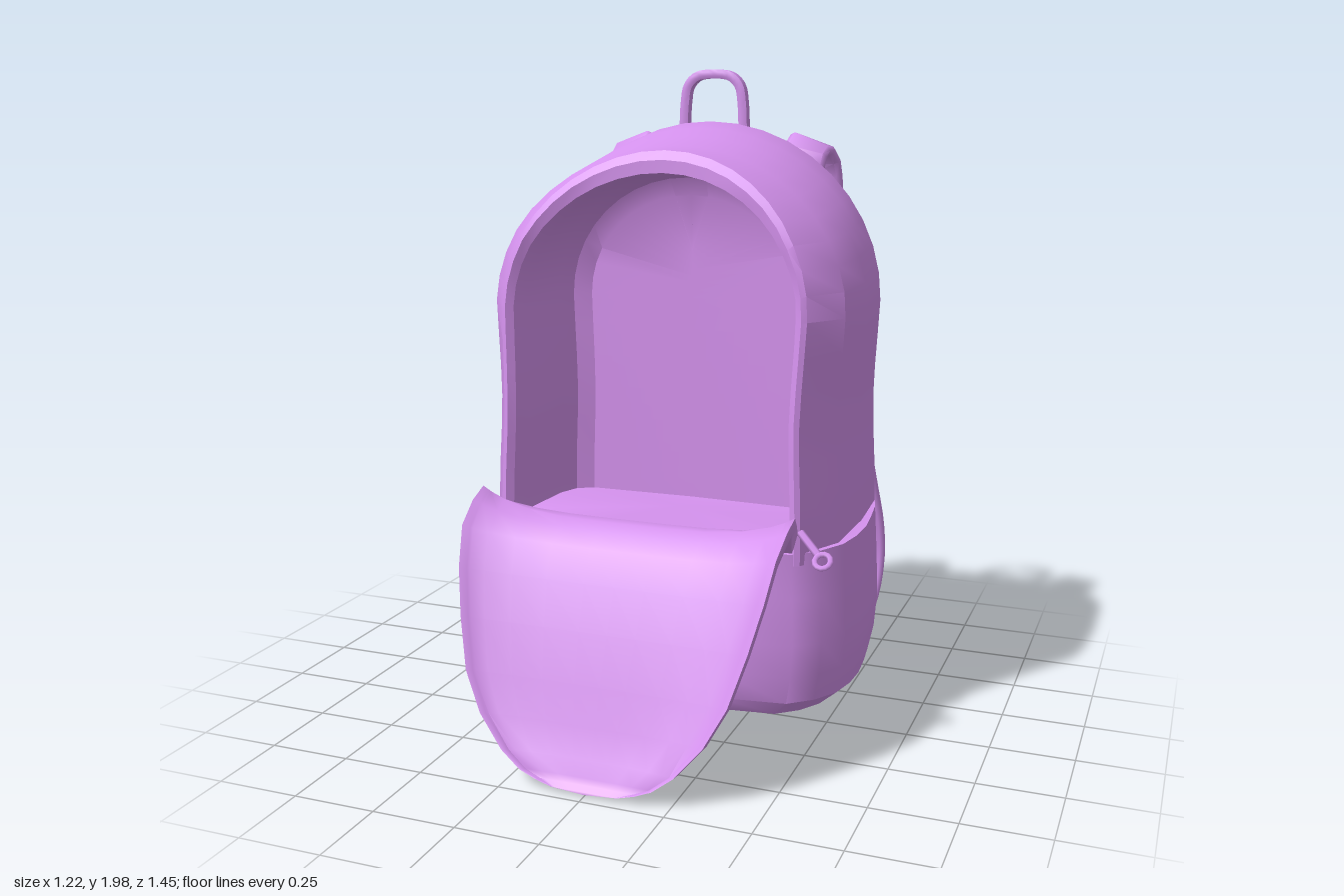
import * as THREE from 'three';
import { toCreasedNormals } from 'three/addons/utils/BufferGeometryUtils.js';

const V = (x, y, z) => new THREE.Vector3(x, y, z);
const fabric = new THREE.MeshStandardMaterial({ color: 0xd592ee, side: THREE.DoubleSide });

// Skin a list of cross-section rings (equal point counts) into a surface
function loft(name, rings, closed, crease) {
  const n = rings[0].length;
  const index = [];
  for (let i = 0; i < rings.length - 1; i++) {
    for (let j = 0; j < (closed ? n : n - 1); j++) {
      const k = (j + 1) % n;
      const a = i * n + j, b = i * n + k, c = (i + 1) * n + k, d = (i + 1) * n + j;
      index.push(a, b, c, a, c, d);
    }
  }
  const geo = new THREE.BufferGeometry().setFromPoints(rings.flat());
  geo.setIndex(index);
  const mesh = new THREE.Mesh(toCreasedNormals(geo, crease), fabric);
  mesh.name = name;
  return mesh;
}

// Piecewise-linear lookup in [[key, value], ...]
function lerpTable(table, t) {
  for (let i = 1; i < table.length; i++) {
    const [a, va] = table[i - 1], [b, vb] = table[i];
    if (t <= b) return va + (vb - va) * Math.max(0, (t - a) / (b - a));
  }
  return table[table.length - 1][1];
}

// Arch outline; depth is a number or a function of height
function arch(w, top, depth) {
  const base = 0.6, shoulder = 1.3, half = [];
  const pinch = y => 1 - 0.025 * Math.exp(-(((y - 1.0) / 0.2) ** 2));
  for (let i = 0; i < 7; i++) {
    const y = base + (shoulder - base) * i / 7;
    half.push([w * pinch(y), y]);
  }
  for (let i = 0; i <= 10; i++) {
    const a = (i / 10) * Math.PI / 2;
    half.push([w * Math.cos(a), shoulder + (top - shoulder) * Math.sin(a)]);
  }
  const all = [...half, ...half.slice(0, -1).reverse().map(([x, y]) => [-x, y])];
  return all.map(([x, y]) => V(x, y, typeof depth === 'function' ? depth(y) : depth));
}

// Flat band with rounded edges swept along a curve; `across(t)` is the width direction
function band(name, points, across, width, thick, segments) {
  const curve = new THREE.CatmullRomCurve3(points, false, 'centripetal');
  const w = width / 2, h = thick / 2;
  const section = [[w, h * 0.4], [w * 0.82, h], [-w * 0.82, h], [-w, h * 0.4],
    [-w, -h * 0.4], [-w * 0.82, -h], [w * 0.82, -h], [w, -h * 0.4]];
  const rings = [];
  for (let i = 0; i <= segments; i++) {
    const p = curve.getPointAt(i / segments), t = curve.getTangentAt(i / segments);
    const n = V(0, 0, 0).crossVectors(t, across(i / segments)).normalize();
    const b = V(0, 0, 0).crossVectors(n, t).normalize();
    rings.push(section.map(([u, v]) => p.clone().addScaledVector(b, u).addScaledVector(n, v)));
    if (i === 0) rings.unshift(section.map(() => p.clone()));
    if (i === segments) rings.push(section.map(() => p.clone()));
  }
  return loft(name, rings, true, 0.9);
}

// Main compartment: back panel, sides, front rim, then the inner lining
function makeBody() {
  const seam = y => lerpTable([[0.6, 0.12], [1.3, 0.105], [1.55, 0.075], [1.7, 0.03], [1.77, 0]], y);
  const front = y => lerpTable([[0.6, 0.255], [1.0, 0.245], [1.3, 0.225], [1.5, 0.2], [1.65, 0.15], [1.77, 0.09]], y);
  return loft('body', [
    arch(0, 1.5, -0.362),
    arch(0.3, 1.65, -0.36),
    arch(0.5, 1.795, -0.357),
    arch(0.533, 1.822, -0.347),
    arch(0.552, 1.837, -0.33),
    arch(0.561, 1.84, -0.305),
    arch(0.566, 1.822, -0.2),
    arch(0.57, 1.8, -0.1),
    arch(0.556, 1.775, seam),
    arch(0.477, 1.765, front),
    arch(0.462, 1.738, y => front(y) + 0.008),
    arch(0.442, 1.7, y => front(y) - 0.01),
    arch(0.432, 1.69, y => front(y) - 0.08),
    arch(0.415, 1.69, -0.04),
    arch(0.39, 1.675, -0.105),
    arch(0.34, 1.62, -0.135),
    arch(0, 1.45, -0.145),
  ], false, 0.5);
}

// Wide base with a chamfered underside and a floor inside
function makeBase() {
  const half = [[0, -0.384], [0.28, -0.384], [0.46, -0.378], [0.53, -0.356], [0.568, -0.315],
    [0.585, -0.25], [0.597, -0.15], [0.605, -0.05], [0.6, 0.04], [0.58, 0.13], [0.53, 0.21],
    [0.46, 0.27], [0.25, 0.3], [0, 0.31]];
  const plan = [...half, ...half.slice(1, -1).reverse().map(([x, z]) => [-x, z])];
  const ring = (y, s, tilt = 0) => plan.map(([x, z]) => V(x * s, y - z * tilt, -0.03 + (z + 0.03) * s));
  return loft('base', [
    ring(0.125, 0), ring(0.125, 0.87), ring(0.175, 0.965), ring(0.26, 0.995), ring(0.36, 1.008),
    ring(0.5, 1), ring(0.645, 0.985, 0.04), ring(0.645, 0.93, 0.04), ring(0.655, 0.85), ring(0.655, 0),
  ], true, 0.6);
}

// Opened front panel: a lipped shallow dish folded forward and hanging down
function makeFlap() {
  // depth, height, half width and dish depth from hinge to tip
  const rows = [[0.24, 0.68, 0.465, 0.01], [0.3, 0.73, 0.48, 0.035], [0.35, 0.77, 0.488, 0.07],
    [0.42, 0.745, 0.486, 0.075], [0.5, 0.69, 0.48, 0.07], [0.555, 0.58, 0.464, 0.065],
    [0.605, 0.45, 0.435, 0.06], [0.655, 0.31, 0.395, 0.055], [0.685, 0.2, 0.337, 0.05],
    [0.707, 0.11, 0.26, 0.035], [0.716, 0.065, 0.2, 0.022], [0.719, 0.045, 0.15, 0.018],
    [0.721, 0.032, 0.1, 0], [0.722, 0.025, 0, 0]];
  const across = [-1, -0.955, -0.94, -0.85, -0.68, -0.45, -0.2, 0, 0.2, 0.45, 0.68, 0.85, 0.94, 0.955, 1];
  const rings = rows.map(([z, y, w, dish], i) => {
    const [z0, y0] = rows[Math.max(i - 1, 0)], [z1, y1] = rows[Math.min(i + 1, rows.length - 1)];
    const len = Math.hypot(z1 - z0, y1 - y0);
    const nz = -(y1 - y0) / len, ny = (z1 - z0) / len;
    const point = (s, d) => V(w * s, y - ny * d, z - nz * d);
    const lip = s => (Math.abs(s) > 0.95 ? 0 : Math.min(dish, 0.016));
    const sag = s => dish * (1 - s ** 4);
    return [
      ...across.map(s => point(s, Math.max(sag(s), lip(s)))),
      ...across.slice().reverse().map(s => point(s * 0.985, sag(s) + 0.05)),
    ];
  });
  // close the hinge edge
  const first = rings[0];
  rings.unshift(first.map((p, j) => p.clone().add(first[first.length - 1 - j]).multiplyScalar(0.5)));
  return loft('openFlap', rings, true, 1.0);
}

// Shoulder strap for one side; its top end tilts with the slope of the shoulder
function makeStrap(side) {
  const path = [[0.29, 1.7, -0.345], [0.295, 1.745, -0.362], [0.3, 1.768, -0.41], [0.312, 1.725, -0.457],
    [0.32, 1.6, -0.48], [0.33, 1.4, -0.505], [0.345, 1.18, -0.54], [0.375, 0.9, -0.605],
    [0.41, 0.62, -0.675], [0.435, 0.45, -0.7], [0.44, 0.34, -0.7], [0.435, 0.24, -0.67],
    [0.425, 0.17, -0.6], [0.41, 0.15, -0.52], [0.39, 0.175, -0.43], [0.38, 0.2, -0.36]];
  const name = side > 0 ? 'leftShoulderStrap' : 'rightShoulderStrap';
  const across = t => V(1, -side * 0.42 * Math.max(0, 1 - t * 2.5), 0);
  return band(name, path.map(([x, y, z]) => V(side * x, y, z)), across, 0.14, 0.04, 44);
}

// Zip pull with a stem and a ring, at a lower corner of the opening
function makeZipPull(side) {
  const pull = new THREE.Group();
  pull.name = side > 0 ? 'leftZipPull' : 'rightZipPull';
  const stem = new THREE.TubeGeometry(
    new THREE.LineCurve3(V(side * 0.475, 0.7, 0.25), V(side * 0.535, 0.65, 0.28)), 1, 0.012, 6);
  const ring = new THREE.TorusGeometry(0.023, 0.009, 6, 12);
  ring.rotateX(-0.8).translate(side * 0.552, 0.632, 0.285);
  [['stem', stem], ['ring', ring]].forEach(([name, geo]) => {
    const mesh = new THREE.Mesh(geo, fabric);
    mesh.name = name;
    pull.add(mesh);
  });
  return pull;
}

export function createModel() {
  const model = new THREE.Group();
  model.name = 'backpack';
  model.add(makeBody(), makeBase(), makeFlap());
  for (const side of [1, -1]) model.add(makeStrap(side), makeZipPull(side));
  // carrying loop on top
  const loop = [[-0.1, 1.8], [-0.095, 1.9], [-0.085, 1.95], [-0.055, 1.979], [0, 1.986],
    [0.055, 1.979], [0.085, 1.95], [0.095, 1.9], [0.1, 1.8]];
  model.add(band('topHandle', loop.map(([x, y]) => V(x, y, -0.343)), () => V(0, 0, 1), 0.038, 0.028, 32));
  return model;
}
